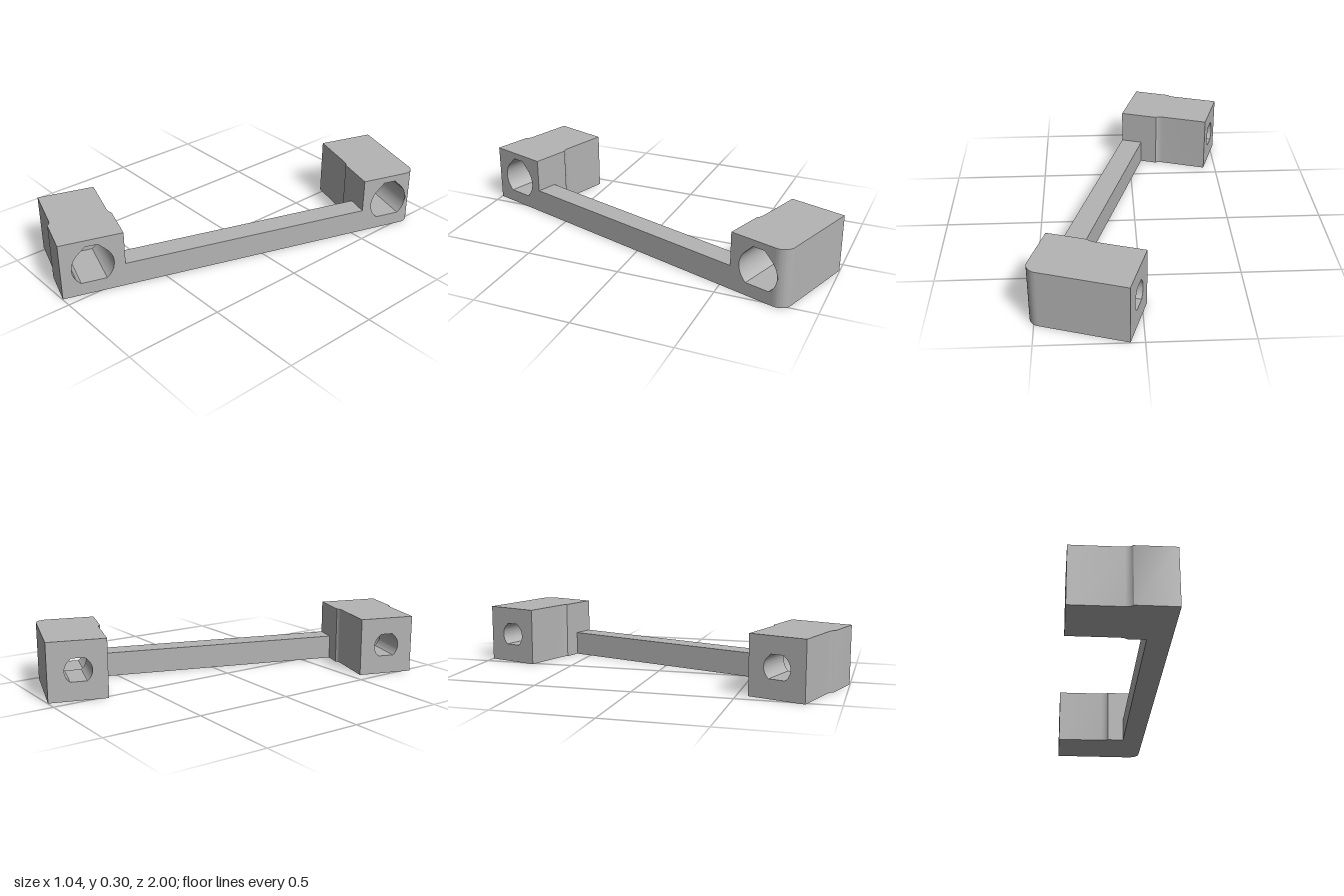
import * as THREE from 'three';
import { toCreasedNormals } from 'three/addons/utils/BufferGeometryUtils.js';

const H = 0.3, BAR_H = 0.125, BAR_T = 0.116, DEPTH = 0.493, STEP_V = 0.28, MID = 0.15, R = 0.105, FILLET = 0.06;

// Local frame: x runs along the bar, v runs away from it (z = -v).
const P = (u, v, y) => new THREE.Vector3(u, y, -v);

// Ruled surface between two rows of points
function strip(a, b) {
  const pos = [], idx = [];
  a.forEach((p, i) => {
    pos.push(p.x, p.y, p.z, b[i].x, b[i].y, b[i].z);
    if (i) idx.push(2 * i - 2, 2 * i, 2 * i - 1, 2 * i, 2 * i + 1, 2 * i - 1);
  });
  const g = new THREE.BufferGeometry();
  g.setAttribute('position', new THREE.Float32BufferAttribute(pos, 3));
  g.setIndex(idx);
  return toCreasedNormals(g, 0.6);
}

// Teardrop bore section with flat top and bottom, starting at its right side
function bore(c, r, top, bottom) {
  const pts = [], cut = Math.asin(bottom / r);
  const arc = (a, b, n) => {
    for (let i = 0; i <= n; i++) {
      const t = a + (b - a) * i / n;
      pts.push(new THREE.Vector2(c + r * Math.cos(t), MID + r * Math.sin(t)));
    }
  };
  const half = r * Math.SQRT2 - top;
  arc(0, Math.PI / 4, 8);
  pts.push(new THREE.Vector2(c + half, MID + top), new THREE.Vector2(c - half, MID + top));
  arc(Math.PI * 0.75, Math.PI + cut, 16);
  arc(Math.PI * 2 - cut, Math.PI * 2, 8);
  return pts;
}

export function createModel() {
  const grey = new THREE.MeshStandardMaterial({ color: 0xb4b4b4, side: THREE.DoubleSide });
  grey.name = 'grey';
  const bracket = new THREE.Group();
  bracket.name = 'bracket';
  const add = (parent, name, geo) => {
    const m = new THREE.Mesh(geo, grey);
    m.name = name;
    parent.add(m);
    return m;
  };

  // Block with a stepped bore; sideA and sideB are plan paths of [u, v] from the bar face back
  function block(name, sideA, sideB, centre, faceEnd, front) {
    const g = new THREE.Group();
    g.name = name;
    bracket.add(g);

    for (const side of [sideA, sideB])
      add(g, 'sideWall', strip(side.map(([u, v]) => P(u, v, 0)), side.map(([u, v]) => P(u, v, H))));
    const plan = [...sideA, ...[...sideB].reverse()].map(([u, v]) => new THREE.Vector2(u, v));
    for (const y of [0, H]) {
      const cap = new THREE.ShapeGeometry(new THREE.Shape(plan)).rotateX(-Math.PI / 2);
      add(g, y ? 'top' : 'underside', cap.translate(0, y, 0));
    }

    const big = bore(centre, R, 0.116, 0.083), small = bore(centre, 0.068, 0.063, 0.054);
    const plate = (label, outline, hole, v) => {
      const s = new THREE.Shape(outline);
      if (hole) s.holes.push(new THREE.Path(hole));
      add(g, label, new THREE.ShapeGeometry(s).translate(0, 0, -v));
    };
    const rect = (a, b) => [[a, 0], [b, 0], [b, H], [a, H]].map(p => new THREE.Vector2(...p));

    // Face on the bar side; the bore opens into the rounded corner when it reaches past the face
    const u0 = sideA[0][0];
    if (centre + R > faceEnd) {
      const h = Math.sqrt(R * R - (faceEnd - centre) ** 2);
      const r = rect(u0, faceEnd);
      const notch = [new THREE.Vector2(faceEnd, MID + h), ...big.filter(p => p.x < faceEnd - 1e-4),
        new THREE.Vector2(faceEnd, MID - h)].reverse();
      plate('boreFace', [r[0], r[1], ...notch, r[2], r[3]], null, 0);
    } else plate('boreFace', rect(u0, faceEnd), big, 0);
    plate('endFace', rect(sideA.at(-1)[0], sideB.at(-1)[0]), small, DEPTH);
    plate('boreShoulder', big, small, STEP_V);

    // Bore walls
    const close = a => [...a, a[0]];
    add(g, 'wideBore', strip(close(big).map(p => P(p.x, front(p.x), p.y)), close(big).map(p => P(p.x, STEP_V, p.y))));
    add(g, 'narrowBore', strip(close(small).map(p => P(p.x, STEP_V, p.y)), close(small).map(p => P(p.x, DEPTH, p.y))));
    return g;
  }

  // Front block, slightly waisted on both sides
  block('frontBlock',
    [[0, 0], [0, 0.203], [0.008, 0.21], [0.013, 0.222], [0.015, 0.24], [0.015, DEPTH]],
    [[0.32, 0], [0.32, 0.205], [0.313, 0.212], [0.308, 0.225], [0.306, 0.245], [0.306, DEPTH]],
    0.16, 0.32, () => 0);

  // Back block with a rounded outer corner
  const end = 1.938, start = end - FILLET, c = 1.787;
  const front = u => u <= start ? 0 : FILLET - Math.sqrt(Math.max(0, FILLET ** 2 - (u - start) ** 2));
  const corner = [];
  for (let i = 0; i <= 16; i++) {
    const t = i / 16 * Math.PI / 2;
    corner.push([start + FILLET * Math.sin(t), FILLET * (1 - Math.cos(t))]);
  }
  const back = block('backBlock',
    [[1.632, 0], [1.632, 0.205], [1.638, 0.212], [1.642, 0.225], [1.644, 0.245], [1.644, DEPTH]],
    [[end, FILLET], [end, DEPTH]], c, start, front);
  const gap = u => Math.sqrt(Math.max(0, R * R - (u - c) ** 2));
  for (const s of [-1, 1])
    add(back, 'roundedCorner', strip(corner.map(([u, v]) => P(u, v, s < 0 ? 0 : H)),
      corner.map(([u, v]) => P(u, v, MID + s * gap(u)))));
  // Cap slivers beside the rounded corner
  const sliver = new THREE.Shape([[1.632, 0], ...corner].map(p => new THREE.Vector2(...p)));
  for (const y of [0, H])
    add(back, 'cornerCap', new THREE.ShapeGeometry(sliver).rotateX(-Math.PI / 2).translate(0, y, 0));

  // Connecting bar
  const length = 1.632 - 0.32;
  add(bracket, 'bar', new THREE.BoxGeometry(length, BAR_H, BAR_T))
    .position.set(0.32 + length / 2, BAR_H / 2, -BAR_T / 2);

  bracket.rotation.y = Math.atan2(0.952, 0.306);
  bracket.position.set(-0.057, 0, 0.998);
  const model = new THREE.Group();
  model.name = 'mountingBracket';
  model.add(bracket);
  return model;
}
